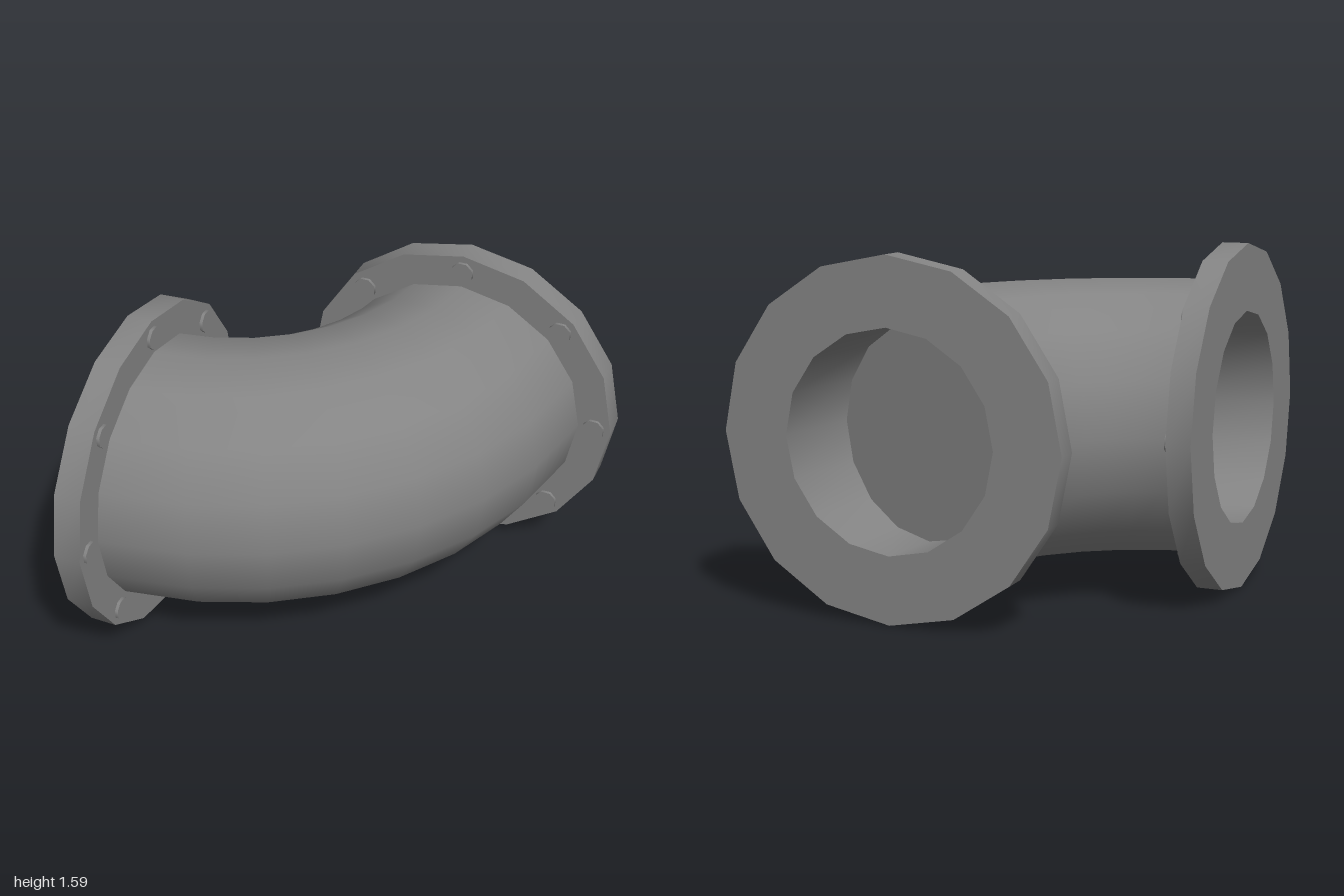
import * as THREE from 'three';
import { toCreasedNormals } from 'three/addons/utils/BufferGeometryUtils.js';

const material = new THREE.MeshStandardMaterial({ color: 0x848484 });
const AXIS_Y = 0.795;     // height of the pipe's centre line
const BEND = 1.205;       // bend radius about the corner (-1, -1)
const THICK = 0.121;      // flange thickness at its centre
const TAPER = 0.0125;     // flange is a little thicker on the outside of the bend
const BORE_ANGLE = 0.26;  // how far the bore follows the bend
const FLOOR = 0.45;       // profile height that marks the bore's floor

function mesh(name, geometry) {
  const m = new THREE.Mesh(geometry, material);
  m.name = name;
  return m;
}

// Quarter bend of seven segments; the end segments run on straight into the flanges
function elbow() {
  const step = Math.PI / 16;
  const g = new THREE.TorusGeometry(BEND, 0.63, 16, 7, step * 7);
  g.rotateZ(step / 2).rotateX(Math.PI / 2).translate(-1, AXIS_Y, -1);
  const p = g.attributes.position;
  const along = 0.06 * Math.cos(step);
  const across = 0.06 * Math.sin(step);
  for (let i = 0; i < p.count; i++) {
    const ring = i % 8;
    if (ring === 0) {
      p.setX(i, p.getX(i) + across);
      p.setZ(i, Math.max(p.getZ(i) - along, -0.97));
    } else if (ring === 7) {
      p.setX(i, Math.max(p.getX(i) - along, -0.97));
      p.setZ(i, p.getZ(i) + across);
    }
  }
  return mesh('elbowPipe', g);
}

// One end: mouth at z = 0 and the pipe towards +z; side is the outer side of the bend along x
function pipeEnd(name, side) {
  const end = new THREE.Group();
  end.name = name;

  // flange with a blind bore whose floor is square to the bend
  const profile = [[0, FLOOR], [0.49, FLOOR], [0.49, 0], [0.795, 0], [0.795, THICK], [0.56, THICK]]
    .map(([r, y]) => new THREE.Vector2(r, y));
  const g = new THREE.LatheGeometry(profile, 16).rotateX(Math.PI / 2);
  const p = g.attributes.position;
  for (let i = 0; i < p.count; i++) {
    const x = p.getX(i);
    if (Math.abs(p.getZ(i) - THICK) < 1e-4) {
      p.setZ(i, THICK + TAPER * side * x);
    } else if (Math.abs(p.getZ(i) - FLOOR) < 1e-4) {
      const radius = BEND + side * x;
      p.setX(i, side * (radius * Math.cos(BORE_ANGLE) - BEND));
      p.setZ(i, radius * Math.sin(BORE_ANGLE));
    }
  }
  end.add(mesh('flange', toCreasedNormals(g, 0.7)));

  // ring of eight bolt heads
  const boltGeometry = toCreasedNormals(
    new THREE.CylinderGeometry(0.055, 0.055, 0.04, 8).rotateY(Math.PI / 8).rotateX(Math.PI / 2), 0.9);
  for (let i = 0; i < 8; i++) {
    const a = (i * Math.PI) / 4;
    const x = 0.71 * Math.cos(a);
    const bolt = mesh('bolt', boltGeometry);
    bolt.position.set(x, 0.71 * Math.sin(a), THICK + TAPER * side * x - 0.005);
    bolt.rotation.y = -TAPER * side;
    end.add(bolt);
  }
  return end;
}

export function createModel() {
  const model = new THREE.Group();
  model.name = 'pipeElbow';
  model.add(elbow());

  const back = pipeEnd('backEnd', 1);
  back.position.set(BEND - 1, AXIS_Y, -1);

  const right = pipeEnd('rightEnd', -1);
  right.rotation.y = Math.PI / 2;
  right.position.set(-1, AXIS_Y, BEND - 1);

  model.add(back, right);
  return model;
}
